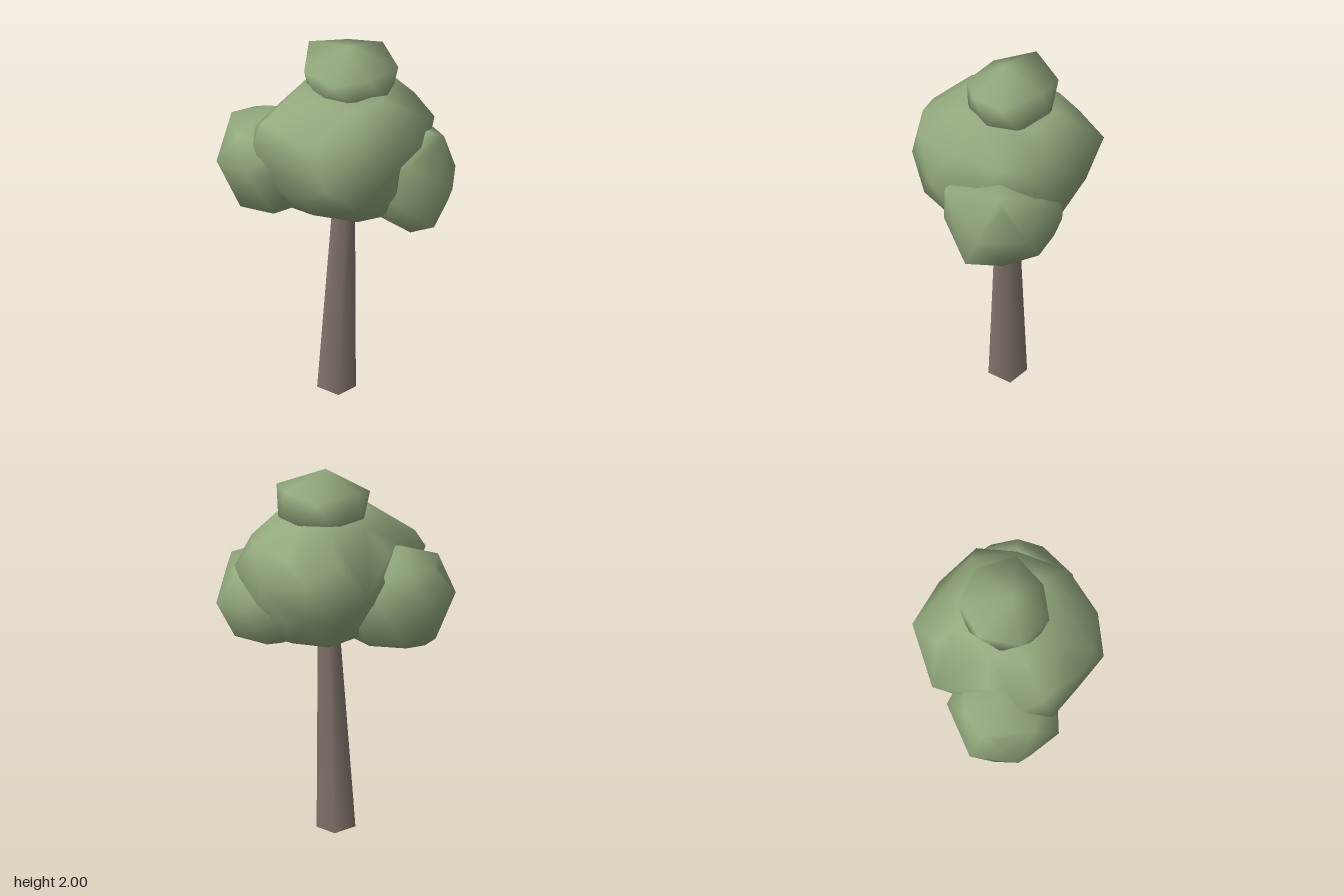
import * as THREE from 'three';
import { mergeVertices } from 'three/addons/utils/BufferGeometryUtils.js';
import { ConvexGeometry } from 'three/addons/geometries/ConvexGeometry.js';

const leafGreen = new THREE.MeshStandardMaterial({ name: 'leafGreen', color: 0x93a97d });
const barkBrown = new THREE.MeshStandardMaterial({ name: 'barkBrown', color: 0x867970, side: THREE.DoubleSide });

// Leaf clump: a widest loop, smaller loops [height, scale, shift x, shift z] between its corners,
// and a few single corners for the poles and bumps
function clump(name, loop, rings, corners) {
  const points = loop.map((p) => new THREE.Vector3(...p));
  const centre = points.reduce((sum, p) => sum.add(p), new THREE.Vector3()).divideScalar(points.length);
  const all = [...points, ...corners.map((p) => new THREE.Vector3(...p))];
  rings.forEach(([y, scale, dx, dz], r) => {
    points.forEach((p, i) => {
      const q = p.clone().lerp(points[(i + 1) % points.length], 0.5);
      q.sub(centre).multiplyScalar(scale).add(centre);
      all.push(new THREE.Vector3(q.x + dx, y + 0.015 * Math.sin(i * 2.4 + r), q.z + dz));
    });
  });
  // Shared corners give the clump smooth shading
  let geometry = new ConvexGeometry(all);
  geometry.deleteAttribute('normal');
  geometry = mergeVertices(geometry, 1e-4);
  geometry.computeVertexNormals();
  const mesh = new THREE.Mesh(geometry, leafGreen);
  mesh.name = name;
  return mesh;
}

// Four-sided, smooth-shaded hollow trunk, tapered and leaning slightly to its left
function trunk() {
  const height = 1.2;
  const geometry = new THREE.CylinderGeometry(0.054, 0.102, height, 4, 1, true, 0.43);
  geometry.translate(0, height / 2, 0);
  geometry.rotateZ(-0.035);
  geometry.rotateX(-0.008);
  geometry.translate(-0.002, 0.004, 0);
  const mesh = new THREE.Mesh(geometry, barkBrown);
  mesh.name = 'trunk';
  return mesh;
}

export function createModel() {
  const tree = new THREE.Group();
  tree.name = 'tree';
  tree.add(trunk());

  tree.add(clump('mainFoliage', [
    [-0.09, 1.54, -0.5], [0.21, 1.45, -0.45], [0.43, 1.5, -0.32], [0.48, 1.47, 0.02], [0.38, 1.4, 0.31],
    [0.11, 1.38, 0.49], [-0.34, 1.52, 0.36], [-0.385, 1.55, 0.19], [-0.36, 1.45, -0.3],
  ], [[1.61, 0.93, 0.02, 0.04], [1.75, 0.6, 0.01, 0], [1.25, 0.88, 0.03, 0.03], [1.12, 0.67, 0.03, 0.01]],
  [[-0.09, 1.8, 0.1], [0.05, 1.61, 0.45], [0.33, 1.15, 0.18], [-0.03, 1.3, -0.42], [0.1, 1.03, 0]]));

  tree.add(clump('rightFoliage', [
    [-0.61, 1.29, -0.01], [-0.58, 1.34, 0.25], [-0.365, 1.36, 0.4], [-0.1, 1.37, 0.3],
    [-0.03, 1.35, 0.05], [-0.15, 1.35, -0.17], [-0.39, 1.35, -0.21],
  ], [[1.51, 0.86, 0, 0], [1.11, 0.8, 0, -0.01]],
  [[-0.34, 1.62, 0.07], [-0.57, 1.53, 0.04], [-0.51, 1.1, 0.04], [-0.28, 1.06, 0.07]]));

  tree.add(clump('leftFoliage', [
    [0.635, 1.25, -0.02], [0.56, 1.25, -0.28], [0.33, 1.28, -0.4], [0.08, 1.26, -0.33],
    [0.03, 1.27, -0.1], [0.15, 1.27, 0.17], [0.42, 1.22, 0.22],
  ], [[1.43, 0.88, 0, 0], [1.1, 0.85, 0.01, 0]],
  [[0.47, 1.44, 0.2], [0.55, 1.49, -0.13], [0.47, 1.52, -0.1],
    [0.56, 1.05, 0.06], [0.45, 1.03, 0.12], [0.48, 1.02, -0.12], [0.25, 1.03, -0.12]]));

  tree.add(clump('topFoliage', [
    [-0.19, 1.94, -0.1], [-0.03, 1.9, -0.27], [0.17, 1.93, -0.24], [0.32, 1.89, -0.06],
    [0.22, 1.87, 0.12], [0.05, 1.85, 0.21], [-0.14, 1.87, 0.12],
  ], [[1.73, 1.02, 0.01, 0]], [[0.06, 2, 0], [0.07, 1.62, -0.03]]));

  return tree;
}
